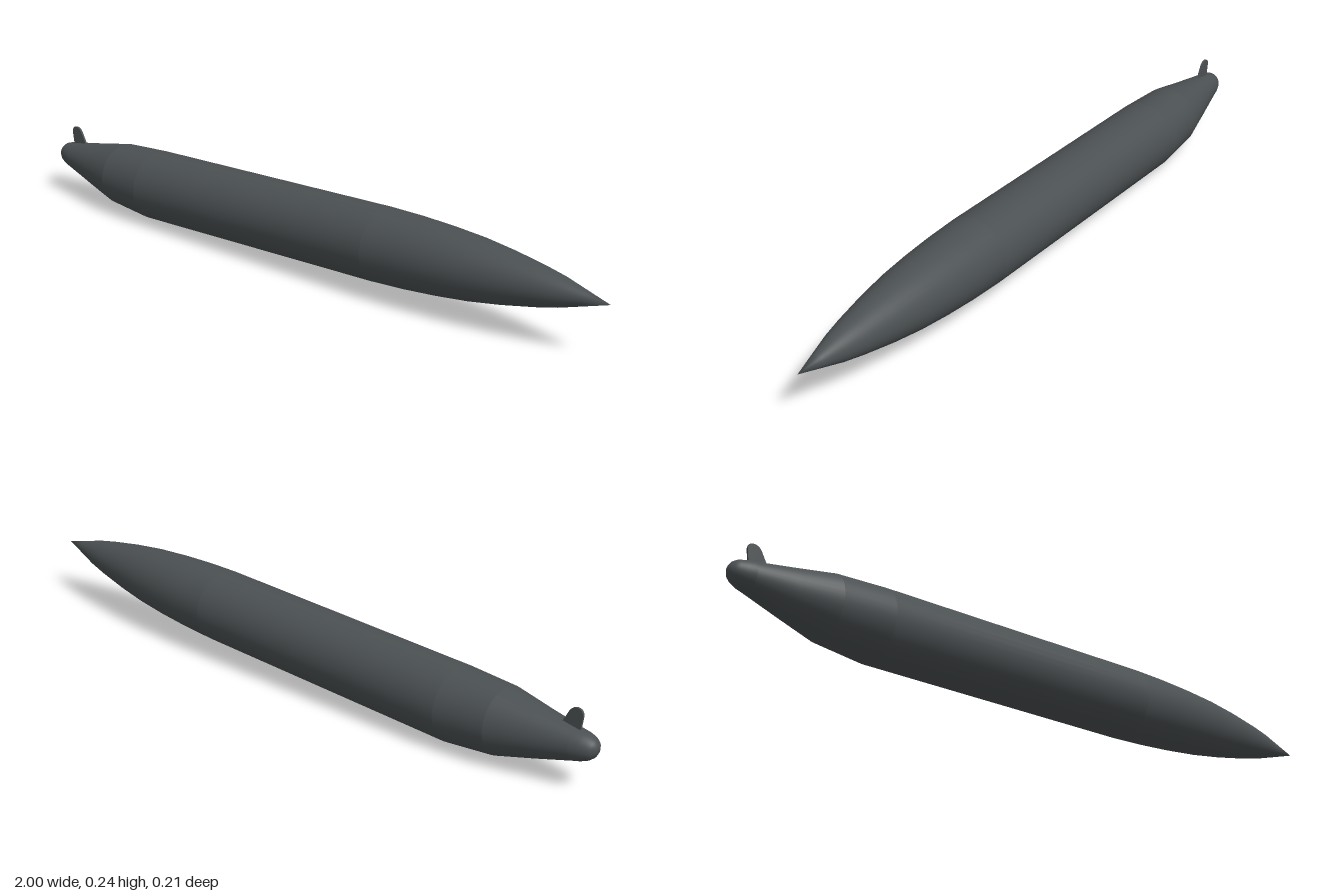
import * as THREE from 'three';
import { mergeVertices } from 'three/addons/utils/BufferGeometryUtils.js';

const paint = new THREE.MeshStandardMaterial({ color: 0x4b5052 });

// Height of the body's centreline: a slight nose-up line, kicked up at the tail
function centreY(x) {
  const straight = 0.1255 + 0.034 * x;
  const t = Math.max(0, -0.57 - x) / 0.43;
  return straight + 0.031 * Math.pow(t, 1.4);
}

// One smooth section of the body from [x, radius] stations, bent to the centreline
function section(name, stations) {
  const points = stations.map(([x, r]) => new THREE.Vector2(r, x));
  let geo = new THREE.LatheGeometry(points, 36);
  geo.rotateZ(-Math.PI / 2);
  const pos = geo.attributes.position;
  for (let i = 0; i < pos.count; i++) pos.setY(i, pos.getY(i) + centreY(pos.getX(i)));
  geo.deleteAttribute('uv');
  geo.deleteAttribute('normal');
  geo = mergeVertices(geo, 1e-5);
  geo.computeVertexNormals();
  const mesh = new THREE.Mesh(geo, paint);
  mesh.name = name;
  return mesh;
}

export function createModel() {
  const model = new THREE.Group();
  model.name = 'spindleTank';

  // Body: rounded tail, two tapers, straight barrel and pointed nose
  model.add(
    section('tailCap', [[-1, 0], [-0.998, 0.012], [-0.991, 0.023], [-0.98, 0.031], [-0.96, 0.038], [-0.94, 0.042]]),
    section('tailCone', [[-0.94, 0.042], [-0.83, 0.067], [-0.72, 0.092]]),
    section('shoulder', [[-0.72, 0.092], [-0.57, 0.103]]),
    section('barrel', [[-0.57, 0.103], [0.3, 0.103]]),
    section('nose', [[0.3, 0.103], [0.4, 0.1], [0.5, 0.094], [0.6, 0.085], [0.7, 0.071],
      [0.8, 0.053], [0.86, 0.04], [0.93, 0.02], [1, 0]])
  );

  // Thin, rounded fin leaning back on top of the tail
  const outline = new THREE.Shape();
  outline.moveTo(-0.945, 0.145);
  outline.lineTo(-0.952, 0.195);
  outline.quadraticCurveTo(-0.952, 0.214, -0.935, 0.214);
  outline.quadraticCurveTo(-0.92, 0.214, -0.912, 0.2);
  outline.lineTo(-0.885, 0.15);
  outline.closePath();
  const finGeo = new THREE.ExtrudeGeometry(outline, { depth: 0.006, bevelEnabled: false, curveSegments: 6 });
  finGeo.translate(0, 0, -0.003);
  const fin = new THREE.Mesh(finGeo, paint);
  fin.name = 'tailFin';
  model.add(fin);

  return model;
}
